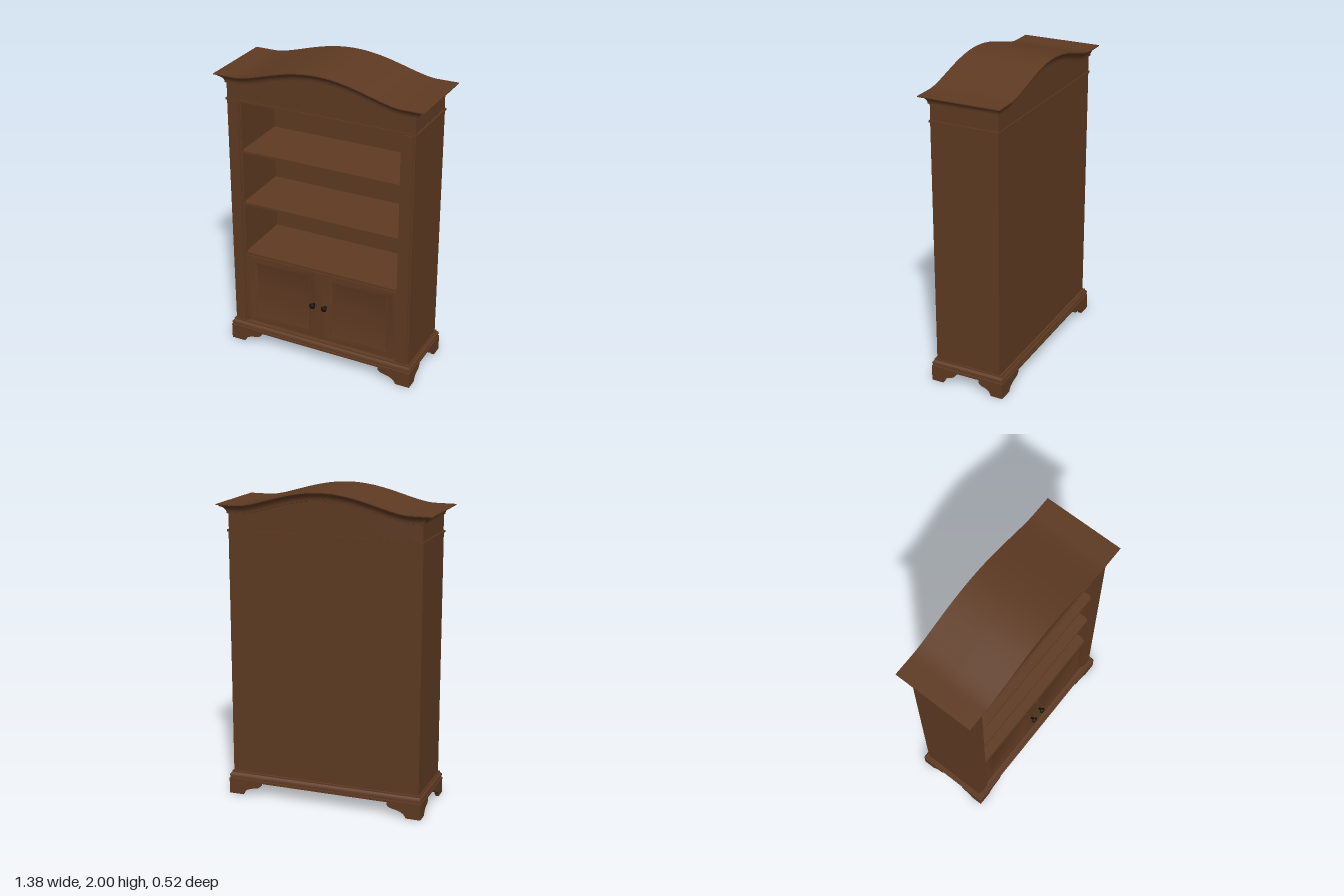
import * as THREE from 'three';
import { toCreasedNormals } from 'three/addons/utils/BufferGeometryUtils.js';

const wood = new THREE.MeshStandardMaterial({ color: 0x5e3a22 });
wood.name = 'walnut';
const metal = new THREE.MeshStandardMaterial({ color: 0x14110f });
metal.name = 'blackMetal';

// Skin a stack of closed rings, each a list of [x, y, z] points
function loft(rings) {
  const n = rings[0].length, index = [];
  for (let r = 0; r + 1 < rings.length; r++) {
    for (let i = 0; i < n; i++) {
      const j = (i + 1) % n, a = r * n, b = a + n;
      index.push(a + i, a + j, b + j, a + i, b + j, b + i);
    }
  }
  const g = new THREE.BufferGeometry();
  g.setAttribute('position', new THREE.Float32BufferAttribute(rings.flat(2), 3));
  g.setIndex(index);
  return toCreasedNormals(g, 0.45);
}

// Horizontal rectangular ring, with the long sides sampled so they can follow a curve
function ring(X, Z, yOf, n = 1) {
  const pts = [];
  for (let i = 0; i <= n; i++) {
    const x = X * (2 * i / n - 1);
    pts.push([x, yOf(x), Z]);
  }
  return pts.concat(pts.map(([x, y]) => [x, y, -Z]).reverse());
}

// Bracket foot board: ogee cut from a wide top to a narrow toe
function bracket(length, toe) {
  const k = length - toe;
  const s = new THREE.Shape();
  s.moveTo(0, 0);
  s.lineTo(-toe, 0);
  s.bezierCurveTo(-toe - k * 0.1, 0.035, -toe - k * 0.4, 0.045, -toe - k * 0.6, 0.05);
  s.quadraticCurveTo(-toe - k * 0.95, 0.055, -length, 0.075);
  s.lineTo(-length, 0.092);
  s.lineTo(0, 0.092);
  return new THREE.ExtrudeGeometry(s, { depth: 0.025, bevelEnabled: false, curveSegments: 8 });
}

export function createModel() {
  const model = new THREE.Group();
  model.name = 'bookcase';
  const add = (name, geometry, material = wood, parent = model) => {
    const m = new THREE.Mesh(geometry, material);
    m.name = name;
    parent.add(m);
    return m;
  };
  // Box given by its min and max on each axis
  const box = (name, x0, x1, y0, y1, z0, z1) =>
    add(name, new THREE.BoxGeometry(x1 - x0, y1 - y0, z1 - z0)
      .translate((x0 + x1) / 2, (y0 + y1) / 2, (z0 + z1) / 2));

  // Carcass
  for (const s of [-1, 1]) {
    const side = (name, a, b, ...rest) => box(name, Math.min(s * a, s * b), Math.max(s * a, s * b), ...rest);
    side('sidePanel', 0.54, 0.626, 0.14, 1.74, -0.22, 0.219);
    side('pilaster', 0.548, 0.614, 0.15, 1.722, 0.21, 0.227);
    side('openingBead', 0.532, 0.541, 0.15, 1.722, 0.2, 0.215);
  }
  box('backPanel', -0.54, 0.54, 0.14, 1.74, -0.22, -0.205);
  box('ceiling', -0.54, 0.54, 1.722, 1.74, -0.21, 0.219);
  box('lowerCabinet', -0.54, 0.54, 0.14, 0.655, -0.21, 0.2);
  for (const y of [0.664, 1.026, 1.386]) box('shelf', -0.54, 0.54, y - 0.008, y + 0.008, -0.206, 0.212);

  // Doors with sunken, bevelled panels
  const doorRing = (cx, w, y0, y1, z) => [[cx - w, y0, z], [cx + w, y0, z], [cx + w, y1, z], [cx - w, y1, z]];
  for (const s of [-1, 1]) {
    const door = new THREE.Group();
    door.name = s > 0 ? 'leftDoor' : 'rightDoor';
    model.add(door);
    const cx = s * 0.272;
    add('doorPanel', loft([
      doorRing(cx, 0.26, 0.158, 0.653, 0.199),
      doorRing(cx, 0.26, 0.158, 0.653, 0.214),
      doorRing(cx, 0.207, 0.202, 0.607, 0.214),
      doorRing(cx, 0.187, 0.222, 0.587, 0.206),
      doorRing(cx, 0, 0.4, 0.4, 0.206),
    ]), wood, door);
    // Turned knob
    const profile = [[0, 0], [0.009, 0], [0.008, 0.018], [0.018, 0.024], [0.02, 0.031], [0.015, 0.038], [0, 0.041]];
    const knob = add('knob', new THREE.LatheGeometry(profile.map(p => new THREE.Vector2(...p)), 20), metal, door);
    knob.rotation.x = Math.PI / 2;
    knob.position.set(s * 0.042, 0.412, 0.213);
  }
  box('centreStrip', -0.013, 0.013, 0.158, 0.653, 0.2, 0.217);

  // Base moulding: [half width, half depth, height]
  add('baseMoulding', loft([
    [0.648, 0, 0.09], [0.648, 0.248, 0.09], [0.648, 0.248, 0.104], [0.643, 0.243, 0.106],
    [0.643, 0.243, 0.118], [0.647, 0.247, 0.12], [0.645, 0.245, 0.13], [0.638, 0.239, 0.138],
    [0.634, 0.235, 0.142], [0.634, 0.235, 0.15], [0.634, 0, 0.15],
  ].map(([X, Z, y]) => ring(X, Z, () => y))));

  // Four bracket feet, mirrored to the corners
  for (const sx of [-1, 1]) for (const sz of [-1, 1]) {
    const foot = new THREE.Group();
    foot.name = sz > 0 ? 'frontFoot' : 'backFoot';
    foot.scale.set(sx, 1, sz);
    add('longBracket', bracket(0.22, 0.095).translate(0.648, 0, 0.223), wood, foot);
    add('shortBracket', bracket(0.165, 0.08).rotateY(-Math.PI / 2).translate(0.648, 0, 0.248), wood, foot);
    model.add(foot);
  }

  // Bead under the frieze
  box('friezeBead', -0.634, 0.634, 1.724, 1.736, -0.226, 0.226);

  // Arched crown: [half width, half depth, drop below the arch line]
  const arch = x => 1.895 + 0.105 * Math.pow(Math.max(0, 1 - (x / 0.55) ** 2), 1.7);
  const N = 56;
  add('crown', loft([
    ring(0.624, 0.22, () => 1.735, N),
    ...[
      [0.624, 0.22, 0.06], [0.632, 0.228, 0.058], [0.632, 0.228, 0.05], [0.636, 0.231, 0.038],
      [0.645, 0.237, 0.026], [0.658, 0.246, 0.017], [0.668, 0.251, 0.014], [0.672, 0.255, 0.008],
      [0.69, 0.262, 0.006], [0.69, 0.262, 0], [0.69, 0, 0],
    ].map(([X, Z, drop]) => ring(X, Z, x => arch(x) - drop, N)),
  ]));

  return model;
}
